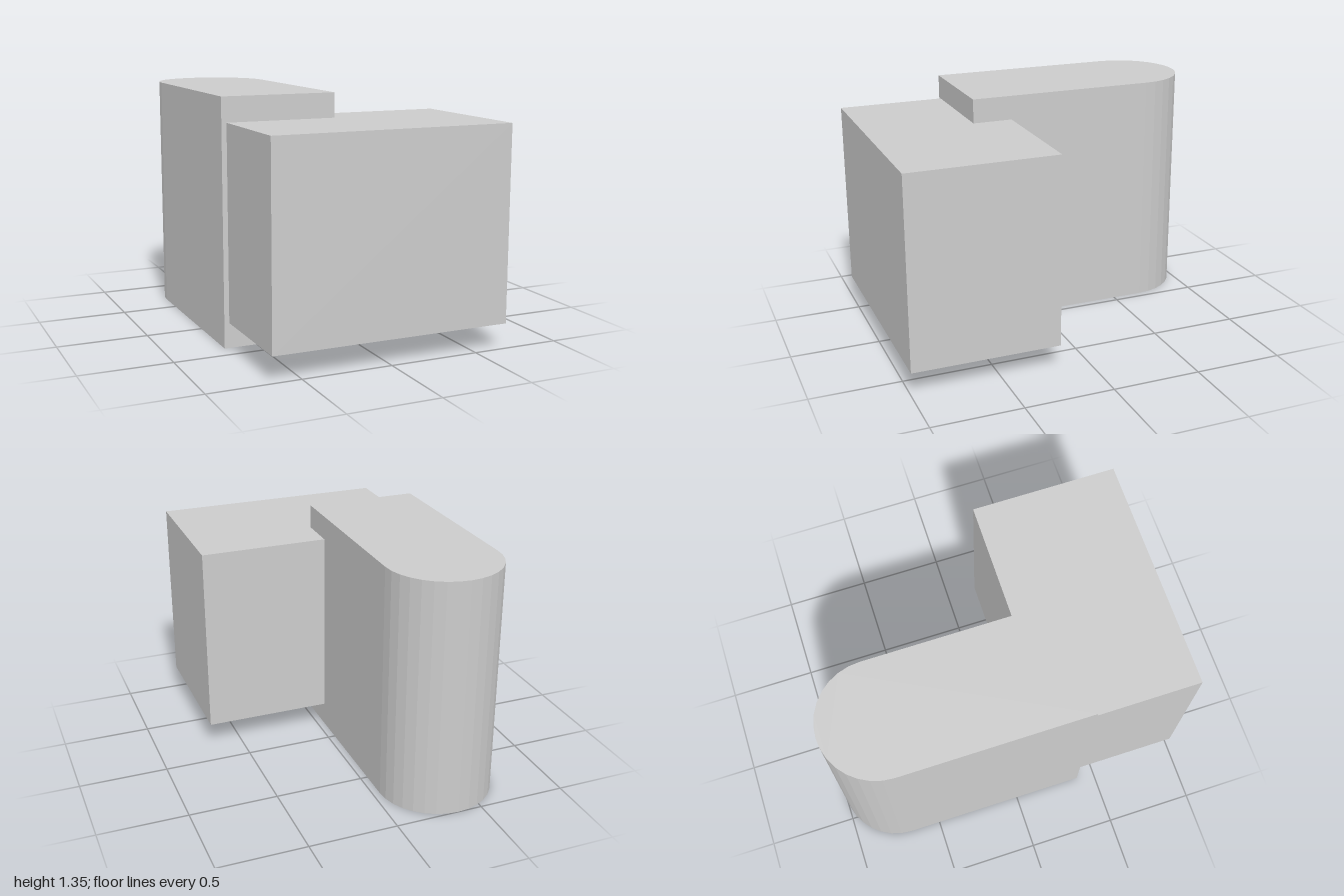
import * as THREE from 'three';

export function createModel() {
  const group = new THREE.Group();
  const material = new THREE.MeshStandardMaterial({ color: 0xcccccc, flatShading: true });

  // Upright slab with a rounded back end; outline drawn in x and -z
  const radius = 0.322, centreX = -0.363, frontZ = 0.393, arcZ = -0.678, height = 1.345;
  const outline = new THREE.Shape();
  outline.moveTo(centreX - radius, -frontZ);
  outline.lineTo(centreX + radius, -frontZ);
  outline.lineTo(centreX + radius, -arcZ);
  outline.absarc(centreX, -arcZ, radius, 0, Math.PI, false);
  outline.closePath();
  const slabGeometry = new THREE.ExtrudeGeometry(outline, {
    depth: height, bevelEnabled: false, curveSegments: 8,
  });
  slabGeometry.rotateX(-Math.PI / 2);
  const slab = new THREE.Mesh(slabGeometry, material);
  slab.name = 'roundedSlab';
  group.add(slab);

  // Wide front block, overlapping the flat end of the slab
  const min = new THREE.Vector3(-0.657, 0.138, 0.168);
  const max = new THREE.Vector3(0.684, 1.209, 1);
  const size = max.clone().sub(min);
  const block = new THREE.Mesh(new THREE.BoxGeometry(size.x, size.y, size.z), material);
  block.position.copy(min).add(max).multiplyScalar(0.5);
  block.name = 'frontBlock';
  group.add(block);

  return group;
}
